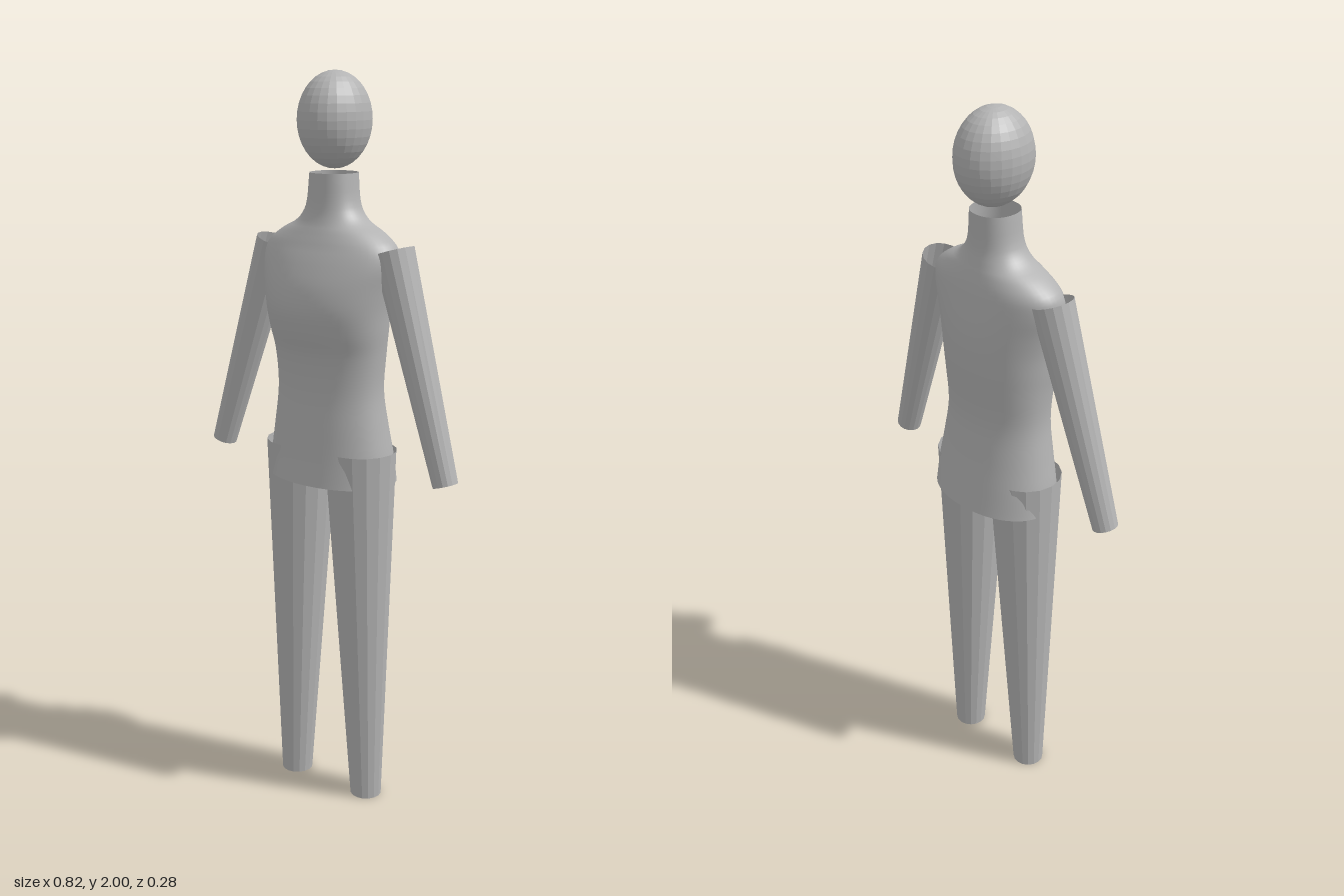
import * as THREE from 'three';

// Torso sections from hem to collar: y, half width, front z, back z
const SECTIONS = [
  [0.93, 0.187, 0.122, -0.14],
  [1.0, 0.182, 0.114, -0.127],
  [1.08, 0.169, 0.108, -0.113],
  [1.18, 0.156, 0.103, -0.101],
  [1.28, 0.162, 0.112, -0.107],
  [1.34, 0.17, 0.13, -0.112],
  [1.4, 0.177, 0.141, -0.115],
  [1.46, 0.188, 0.133, -0.113],
  [1.52, 0.201, 0.111, -0.106],
  [1.56, 0.196, 0.092, -0.1],
  [1.595, 0.155, 0.076, -0.092],
  [1.625, 0.1, 0.063, -0.084],
  [1.66, 0.074, 0.055, -0.077],
  [1.745, 0.062, 0.05, -0.075],
];

// Open smooth shell lofted through rounded sections
function loft(sections, rows, sides) {
  const width = new THREE.CatmullRomCurve3(sections.map(s => new THREE.Vector3(s[1], s[0], 0)));
  const depth = new THREE.CatmullRomCurve3(sections.map(s => new THREE.Vector3(s[2], s[0], s[3])));
  const geometry = new THREE.CylinderGeometry(1, 1, 1, sides, rows, true);
  const pos = geometry.attributes.position;
  for (let i = 0; i < pos.count; i++) {
    const t = THREE.MathUtils.clamp(pos.getY(i) + 0.5, 0, 1);
    const w = width.getPoint(t), d = depth.getPoint(t);
    const round = v => Math.sign(v) * Math.pow(Math.abs(v), 0.92);
    const x = round(pos.getX(i)) * w.x;
    const z = (d.x + d.z) / 2 + round(pos.getZ(i)) * (d.x - d.z) / 2;
    pos.setXYZ(i, x, w.y, z);
  }
  geometry.computeVertexNormals();
  // Match the normals along the seam
  const n = geometry.attributes.normal;
  for (let r = 0; r <= rows; r++) {
    const a = r * (sides + 1), b = a + sides;
    const v = new THREE.Vector3().fromBufferAttribute(n, a)
      .add(new THREE.Vector3().fromBufferAttribute(n, b)).normalize();
    n.setXYZ(a, v.x, v.y, v.z);
    n.setXYZ(b, v.x, v.y, v.z);
  }
  return geometry;
}

export function createModel() {
  const model = new THREE.Group();
  model.name = 'mannequin';
  const smooth = new THREE.MeshStandardMaterial({ color: 0xb3b3b3, side: THREE.DoubleSide });
  smooth.name = 'grey';
  const faceted = smooth.clone();
  faceted.flatShading = true;
  faceted.name = 'grey faceted';

  const add = (name, geometry, material) => {
    const mesh = new THREE.Mesh(geometry, material);
    mesh.name = name;
    model.add(mesh);
    return mesh;
  };

  // Tapered open tube from a top centre to a bottom centre
  const limb = (name, top, bottom, rTop, rBottom) => {
    const a = new THREE.Vector3(...top), b = new THREE.Vector3(...bottom);
    const mesh = add(name, new THREE.CylinderGeometry(rTop, rBottom, a.distanceTo(b), 16, 1, true), faceted);
    mesh.position.copy(a).add(b).multiplyScalar(0.5);
    mesh.quaternion.setFromUnitVectors(new THREE.Vector3(0, 1, 0), a.sub(b).normalize());
  };

  // Head
  const head = add('head', new THREE.SphereGeometry(1, 24, 18), faceted);
  head.scale.set(0.091, 0.123, 0.108);
  head.position.set(0, 1.877, -0.016);

  // Torso with neck
  add('torso', loft(SECTIONS, 52, 48), smooth);

  // Arms
  for (const [side, s] of [['left', 1], ['right', -1]]) {
    limb(side + 'Arm', [s * 0.192, 1.557, -0.01], [s * 0.376, 0.973, 0.01], 0.055, 0.034);
  }

  // Legs, with level ends
  for (const [side, s] of [['left', 1], ['right', -1]]) {
    const geometry = new THREE.CylinderGeometry(0.098, 0.044, 1.02, 16, 1, true);
    geometry.translate(0, 0.51, 0);
    const pos = geometry.attributes.position;
    for (let i = 0; i < pos.count; i++) {
      pos.setX(i, pos.getX(i) + s * THREE.MathUtils.lerp(0.125, 0.099, pos.getY(i) / 1.02));
    }
    geometry.computeVertexNormals();
    add(side + 'Leg', geometry, faceted);
  }
  return model;
}
